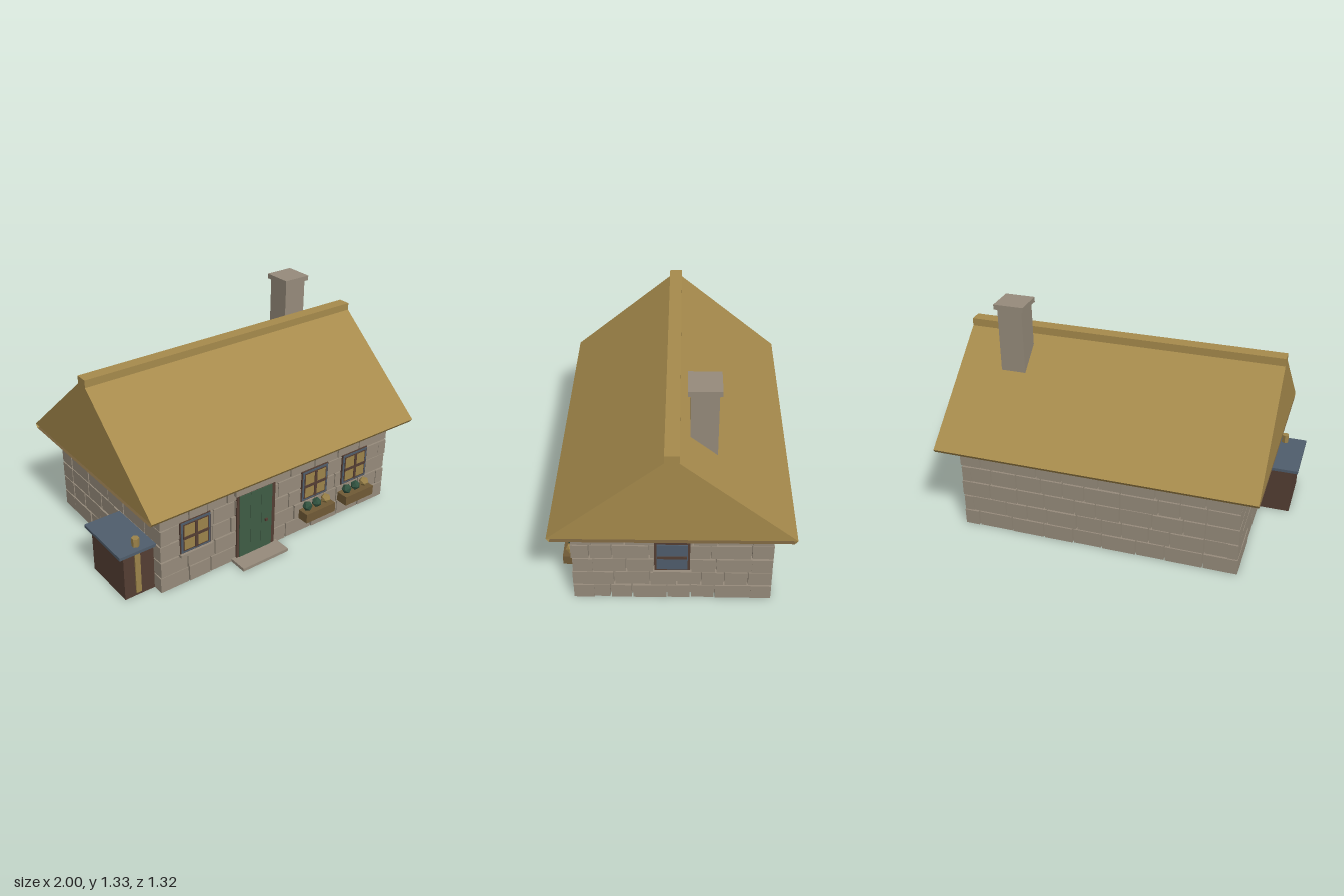
import * as THREE from 'three';

const mat = (name, color, extra = {}) => {
  const m = new THREE.MeshStandardMaterial({ color, ...extra });
  m.name = name;
  return m;
};

export function createModel() {
  const both = { side: THREE.DoubleSide };
  const M = {
    stone: mat('stone', 0x968b7b, both),
    thatch: mat('thatch', 0xa68a4c, both),
    soffit: mat('shaded thatch', 0x745e3b, both),
    timber: mat('dark timber', 0x543e33, both),
    door: mat('green paint', 0x3f5c45),
    slate: mat('slate', 0x4f5d6c),
    planter: mat('planter wood', 0x705a36),
    leaf: mat('leaf green', 0x31523f, { flatShading: true }),
    gold: mat('straw gold', 0x9c834a, { flatShading: true }),
  };
  const model = new THREE.Group();
  model.name = 'cottage';
  const house = new THREE.Group();
  house.name = 'house';
  house.position.z = -0.003;
  model.add(house);

  const add = (parent, name, geo, m, x = 0, y = 0, z = 0) => {
    const mesh = new THREE.Mesh(geo, m);
    mesh.name = name;
    mesh.position.set(x, y, z);
    parent.add(mesh);
    return mesh;
  };
  // Box given by its minimum and maximum corners
  const box = (parent, name, m, x0, x1, y0, y1, z0, z1) =>
    add(parent, name, new THREE.BoxGeometry(x1 - x0, y1 - y0, z1 - z0), m,
      (x0 + x1) / 2, (y0 + y1) / 2, (z0 + z1) / 2);
  // Same box, hollow and open underneath
  const openBox = (...args) => {
    const mesh = box(...args);
    const index = Array.from(mesh.geometry.index.array);
    index.splice(18, 6);
    mesh.geometry.setIndex(index);
    mesh.geometry.clearGroups();
    return mesh;
  };
  const group = (name, parent = house) => {
    const g = new THREE.Group();
    g.name = name;
    parent.add(g);
    return g;
  };

  let seed = 17;
  const rand = () => (seed = (seed * 16807) % 2147483647) / 2147483647;

  // Walls: courses of stones set through a recessed mortar core
  const X0 = -0.778, X1 = 0.895, Z = 0.553, TX = 0.06, TZ = 0.115, GAP = 0.008;
  const walls = group('walls');
  const courses = [0, 0.103, 0.206, 0.309, 0.412, 0.515, 0.562];
  const joints = (a, b, row) => {
    const out = [a];
    let p = a + (row % 2 ? 0.11 : 0.19) + rand() * 0.03;
    while (p < b - 0.08) {
      out.push(p);
      p += 0.12 + rand() * 0.11;
    }
    return [...out, b];
  };
  for (let row = 0; row < 6; row++) {
    const y0 = courses[row], y1 = courses[row + 1] - GAP;
    const longInset = row % 2 ? TX : 0, sideInset = row % 2 ? 0 : TZ;
    for (const s of [1, -1]) {
      const lj = joints(X0 + longInset, X1 - longInset, row);
      for (let i = 0; i + 1 < lj.length; i++) {
        const face = Z - rand() * 0.006;
        const zs = s > 0 ? [Z - TZ, face] : [-face, TZ - Z];
        openBox(walls, s > 0 ? 'frontStone' : 'backStone', M.stone,
          lj[i], lj[i + 1] - (i + 2 < lj.length ? GAP : 0), y0, y1, ...zs);
      }
      const sj = joints(-Z + sideInset, Z - sideInset, row);
      for (let i = 0; i + 1 < sj.length; i++) {
        const r = rand() * 0.006;
        const xs = s > 0 ? [X1 - TX, X1 - r] : [X0 + r, X0 + TX];
        openBox(walls, s > 0 ? 'rightStone' : 'leftStone', M.stone,
          ...xs, y0, y1, sj[i], sj[i + 1] - (i + 2 < sj.length ? GAP : 0));
      }
    }
  }
  const a = 0.035, b = 0.05;
  openBox(walls, 'frontMortar', M.stone, X0 + a, X1 - a, 0.005, 0.55, Z - b, Z - a);
  openBox(walls, 'backMortar', M.stone, X0 + a, X1 - a, 0.005, 0.55, -Z + a, -Z + b);
  openBox(walls, 'rightMortar', M.stone, X1 - b, X1 - a, 0.005, 0.55, -Z + a, Z - a);
  openBox(walls, 'leftMortar', M.stone, X0 + a, X0 + b, 0.005, 0.55, -Z + a, Z - a);

  // Roof: thatch prism, undercut eaves, soffit and ridge cap
  const roof = group('roof');
  const RX0 = -0.887, RX1 = 1, RL = RX1 - RX0, RXC = (RX0 + RX1) / 2, RZ = 0.656;
  const tri = new THREE.Shape([
    new THREE.Vector2(-RZ, 0.56), new THREE.Vector2(RZ, 0.56), new THREE.Vector2(0, 1.112),
  ]);
  const prism = new THREE.ExtrudeGeometry(tri, { depth: RL, bevelEnabled: false });
  prism.rotateY(Math.PI / 2);
  add(roof, 'thatchRoof', prism, M.thatch, RX0);
  for (const s of [1, -1]) {
    const side = group(s > 0 ? 'frontEave' : 'backEave', roof);
    side.position.x = RXC;
    side.rotation.y = s > 0 ? 0 : Math.PI;
    add(side, 'eave', new THREE.PlaneGeometry(RL, Math.hypot(0.022, 0.016)), M.thatch,
      0, 0.549, RZ - 0.008).rotation.x = Math.atan2(0.016, 0.022);
  }
  add(roof, 'soffit', new THREE.PlaneGeometry(RL, 2 * (RZ - 0.016)), M.soffit,
    RXC, 0.538, 0).rotation.x = Math.PI / 2;
  box(roof, 'ridgeCap', M.thatch, RX0, RX1, 1.077, 1.125, -0.039, 0.037);

  // Chimney
  const chimney = group('chimney');
  box(chimney, 'chimneyStack', M.stone, 0.587, 0.735, 0.7, 1.3, -0.236, -0.092);
  box(chimney, 'chimneyCap', M.stone, 0.572, 0.75, 1.298, 1.328, -0.251, -0.076);

  // Door with frame, planks, lintel and step
  const door = group('door');
  openBox(door, 'doorFrame', M.timber, -0.271, 0.003, 0, 0.445, 0.5, 0.559);
  for (let i = 0; i < 3; i++) {
    const x = -0.255 + i * 0.078;
    box(door, 'doorPlank', M.door, x, x + 0.076, 0.02, 0.432, 0.55, 0.564);
  }
  box(door, 'doorKnob', M.timber, -0.074, -0.058, 0.2, 0.216, 0.56, 0.574);
  box(door, 'lintel', M.stone, -0.287, 0.014, 0.445, 0.487, 0.5, 0.572);
  openBox(door, 'doorstep', M.stone, -0.3, 0.025, 0, 0.019, 0.54, 0.664);

  // Window facing +z, its back on the wall at z = 0
  const addWindow = (name, w, h, glass, crossed) => {
    const g = group(name);
    const rect = (n, m, ww, hh, z, d, x = 0, y = 0) =>
      add(g, n, new THREE.BoxGeometry(ww, hh, d), m, x, y, z + d / 2);
    const inset = crossed ? 0.048 : 0.026;
    rect('windowFrame', M.timber, w, h, -0.03, 0.034);
    if (crossed) {
      rect('windowSurround', M.slate, w - 0.01, h - 0.01, 0, 0.007);
      rect('sash', M.timber, w - 0.034, h - 0.034, 0, 0.009);
      rect('mullion', M.timber, 0.018, h - 0.036, 0, 0.015);
    }
    rect('pane', glass, w - inset, h - inset, 0, 0.0105);
    rect('crossbar', M.timber, w - 0.034, 0.017, 0, 0.015);
    return g;
  };
  for (const x of [-0.552, 0.309, 0.629])
    addWindow('frontWindow', 0.202, 0.206, M.gold, true).position.set(x, 0.314, Z);
  box(house, 'frontSill', M.stone, -0.658, -0.448, 0.195, 0.212, 0.52, 0.572);
  const side = addWindow('sideWindow', 0.196, 0.209, M.slate, false);
  side.position.set(X1, 0.331, 0);
  side.rotation.y = Math.PI / 2;
  box(house, 'sideSill', M.stone, 0.86, 0.915, 0.208, 0.227, -0.106, 0.105);

  // Flower boxes
  for (const x of [0.311, 0.628]) {
    const g = group('flowerBox');
    box(g, 'planter', M.planter, x - 0.113, x + 0.113, 0.1, 0.16, 0.545, 0.625);
    [M.leaf, M.leaf, M.gold].forEach((m, i) =>
      add(g, i < 2 ? 'shrub' : 'flower', new THREE.IcosahedronGeometry(0.031, 0), m,
        x - 0.072 + i * 0.072, 0.186, 0.582).rotation.y = i * 0.7);
  }

  // Lean-to shed on the left of the front, with a post and a small flue
  const shed = group('shed');
  openBox(shed, 'shedBody', M.timber, -0.966, -0.775, 0, 0.292, 0.14, 0.48);
  box(shed, 'shedRoof', M.slate, -1, -0.775, 0.29, 0.308, 0.124, 0.505);
  box(shed, 'shedPost', M.gold, -0.898, -0.865, 0.02, 0.29, 0.445, 0.488);
  add(shed, 'shedFlue', new THREE.CylinderGeometry(0.022, 0.022, 0.052, 6), M.gold, -0.872, 0.333, 0.455);

  return model;
}
